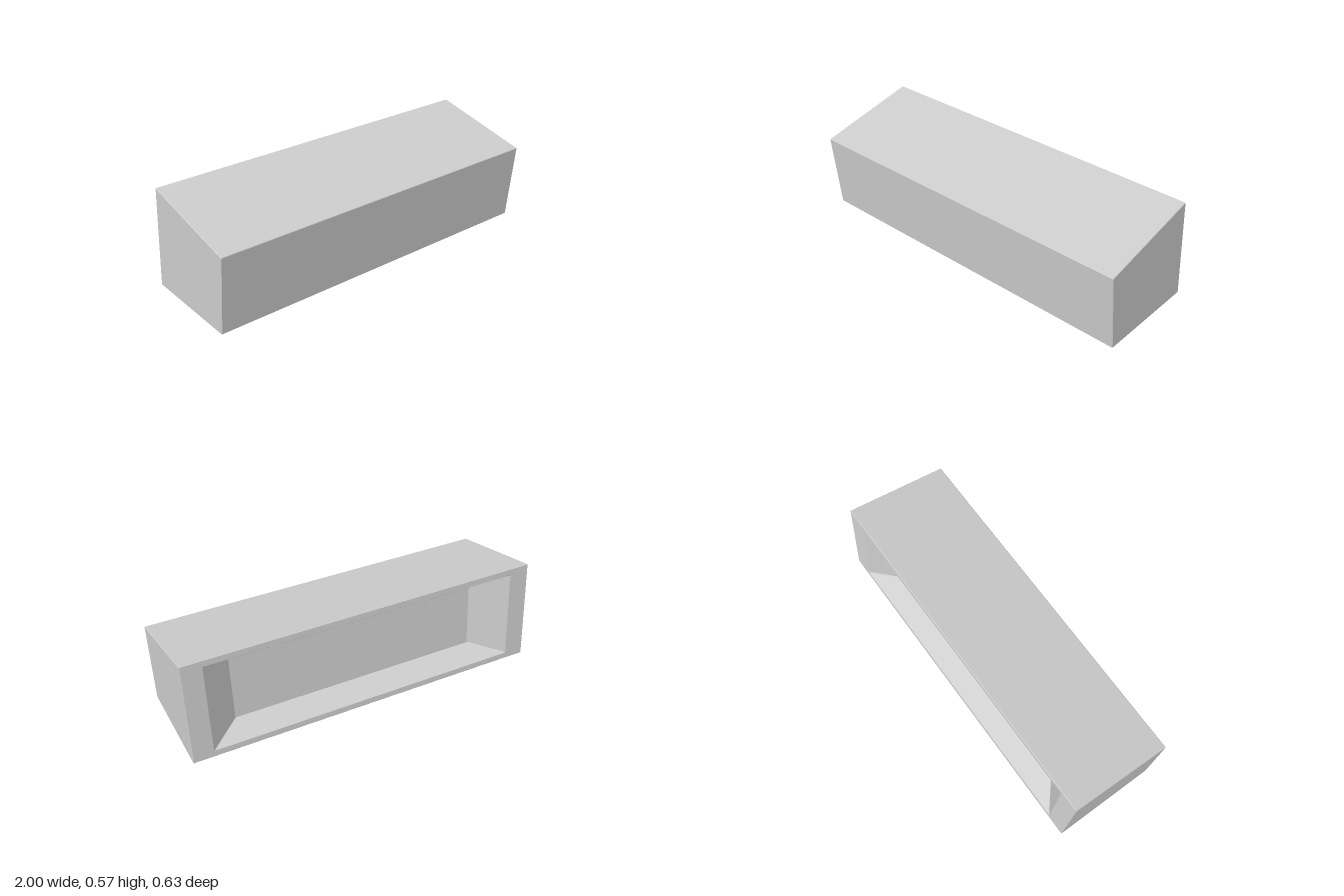
import * as THREE from 'three';

const lerp = THREE.MathUtils.lerp;

// Leaning side profile: u runs bottom to top, t runs back to front
function place(x, u, t) {
  return [
    x,
    u * lerp(0.575, 0.44, t),
    lerp(lerp(-0.315, -0.27, u), lerp(0.27, 0.315, u), t),
  ];
}

// Rectangle with small cut corners, counter-clockwise seen from the front
function ring(hx, u0, u1, t, c = 0.003) {
  const d = c * 2;
  return [
    [hx - c, u0], [hx, u0 + d], [hx, u1 - d], [hx - c, u1],
    [-hx + c, u1], [-hx, u1 - d], [-hx, u0 + d], [-hx + c, u0],
  ].map(([x, u]) => place(x, u, t));
}

// Skin a chain of rings and close both ends
function skin(rings) {
  const n = rings[0].length;
  const points = rings.flat();
  const index = [];
  for (let r = 0; r < rings.length - 1; r++) {
    for (let i = 0; i < n; i++) {
      const j = (i + 1) % n;
      const a = r * n + i, b = (r + 1) * n + i, c = (r + 1) * n + j, d = r * n + j;
      index.push(a, b, c, a, c, d);
    }
  }
  const last = (rings.length - 1) * n;
  for (let i = 1; i < n - 1; i++) {
    index.push(0, i, i + 1);
    index.push(last, last + i + 1, last + i);
  }
  const geometry = new THREE.BufferGeometry();
  geometry.setAttribute('position', new THREE.Float32BufferAttribute(points.flat(), 3));
  geometry.setIndex(index);
  const flat = geometry.toNonIndexed();
  flat.computeVertexNormals();
  return flat;
}

export function createModel() {
  const group = new THREE.Group();
  group.name = 'recessedBlock';
  const material = new THREE.MeshStandardMaterial({ color: 0xcccccc, flatShading: true });

  const geometry = skin([
    // front face and its softened edge
    ring(0.997, 0.006, 0.994, 1),
    ring(1, 0, 1, 0.995),
    // outer walls to the rear rim
    ring(1, 0, 1, 0.005),
    ring(0.997, 0.006, 0.994, 0),
    // rear opening
    ring(0.887, 0.062, 0.938, 0),
    ring(0.882, 0.066, 0.934, 0.005),
    // tapered recess down to its floor
    ring(0.713, 0.138, 0.875, 0.24),
  ]);
  const body = new THREE.Mesh(geometry, material);
  body.name = 'bodyWithRearRecess';
  group.add(body);
  return group;
}
